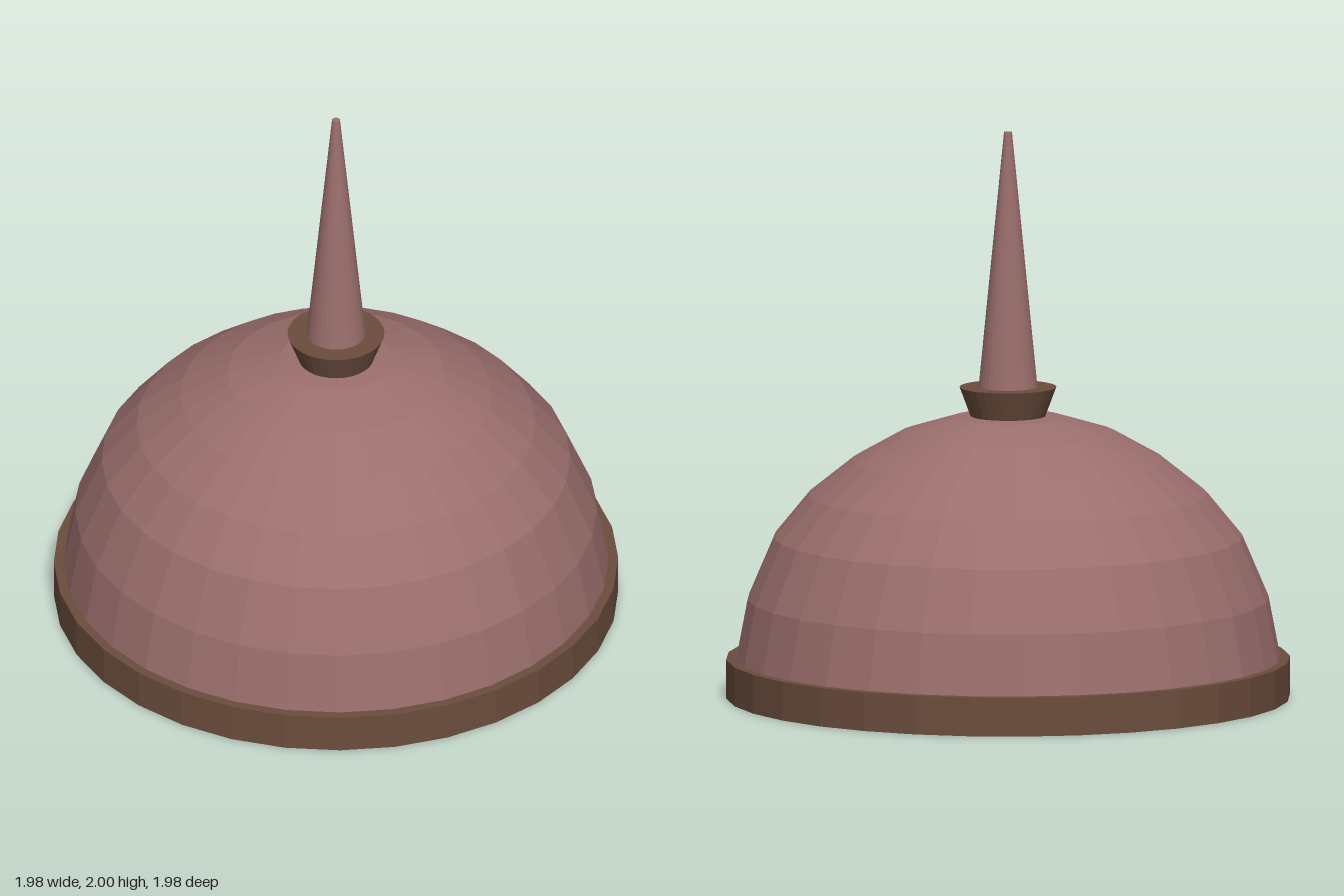
import * as THREE from 'three';

const SIDES = 32;
const rose = new THREE.MeshStandardMaterial({ color: 0x9b6f6d, flatShading: true });
const brown = new THREE.MeshStandardMaterial({ color: 0x6b4d3d, flatShading: true });

export function createModel() {
  const group = new THREE.Group();
  const add = (name, geometry, material) => {
    const mesh = new THREE.Mesh(geometry, material);
    mesh.name = name;
    group.add(mesh);
  };
  // tapered round part standing between two heights
  const taper = (name, rTop, rBottom, y0, y1, material) => add(name,
    new THREE.CylinderGeometry(rTop, rBottom, y1 - y0, SIDES).translate(0, (y0 + y1) / 2, 0), material);

  // base band with closed underside
  taper('baseBand', 0.99, 0.99, 0, 0.137, brown);

  // faceted dome, profile from rim to crown
  const profile = [
    [0.957, 0.13], [0.915, 0.35], [0.822, 0.568], [0.7, 0.717],
    [0.546, 0.84], [0.38, 0.933], [0.195, 0.99], [0, 1.005],
  ].map(([r, y]) => new THREE.Vector2(r, y));
  add('dome', new THREE.LatheGeometry(profile, SIDES), rose);

  // flared collar and spire
  taper('collar', 0.17, 0.13, 0.99, 1.097, brown);
  taper('spire', 0.014, 0.104, 1.09, 2, rose);

  return group;
}
